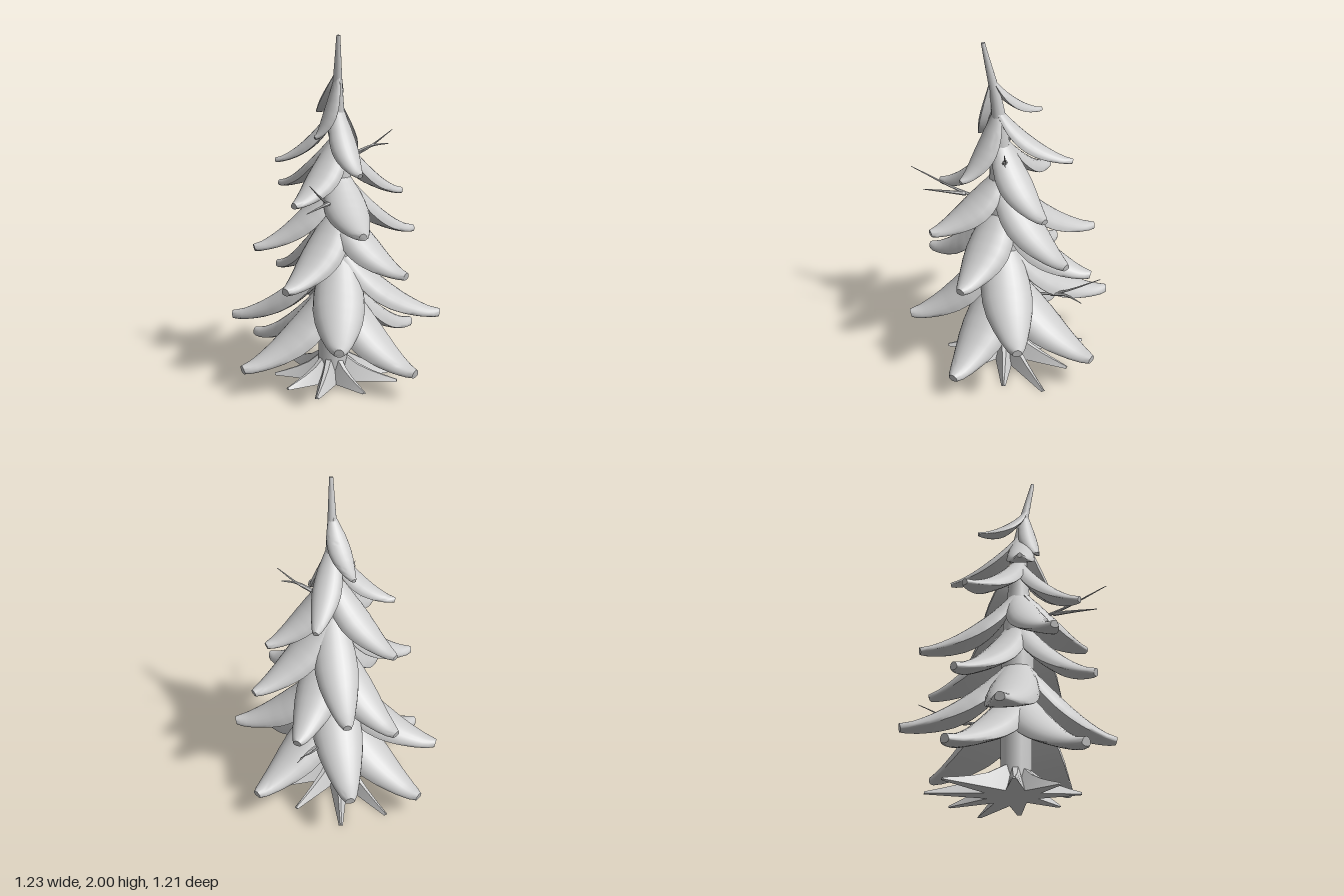
import * as THREE from 'three';
import { toCreasedNormals } from 'three/addons/utils/BufferGeometryUtils.js';

const V = (x, y, z) => new THREE.Vector3(x, y, z);

// Sweeps section(t) -> [[side, up], ...] along a curve and caps both ends.
function loft(curve, steps, section, up, crease) {
  const pos = [], idx = [];
  const n = section(0).length;
  for (let i = 0; i <= steps; i++) {
    const t = i / steps;
    const p = curve.getPoint(t), T = curve.getTangent(t);
    const S = up.clone().cross(T).normalize();
    const N = T.clone().cross(S);
    for (const [s, h] of section(t)) {
      const q = p.clone().addScaledVector(S, s).addScaledVector(N, h);
      pos.push(q.x, q.y, q.z);
    }
  }
  for (let i = 0; i < steps; i++) {
    for (let j = 0; j < n; j++) {
      const a = i * n + j, b = i * n + (j + 1) % n;
      idx.push(a, b, a + n, b, b + n, a + n);
    }
  }
  const last = steps * n;
  for (let j = 1; j < n - 1; j++) {
    idx.push(0, j + 1, j);
    idx.push(last, last + j, last + j + 1);
  }
  const g = new THREE.BufferGeometry();
  g.setAttribute('position', new THREE.Float32BufferAttribute(pos, 3));
  g.setIndex(idx);
  return toCreasedNormals(g, crease);
}

// Linear lookup in a list of [t, value].
function ramp(table, t) {
  for (let i = 1; i < table.length; i++) {
    const [a, va] = table[i - 1], [b, vb] = table[i];
    if (t <= b) return THREE.MathUtils.lerp(va, vb, (t - a) / (b - a));
  }
  return table[table.length - 1][1];
}

const ring = (r, n) => Array.from({ length: n }, (_, j) => {
  const a = j / n * Math.PI * 2;
  return [r * Math.cos(a), r * Math.sin(a)];
});

// Trunk centre line, leaning at the top
const AXIS_X = [[0, -0.04], [0.5, -0.03], [1, -0.02], [1.5, -0.03], [1.75, -0.055], [2, -0.09]];
const AXIS_Z = [[0, 0.02], [0.5, 0.04], [1, 0.07], [1.5, 0.06], [1.75, 0.08], [2, 0.13]];
const axis = (y) => V(ramp(AXIS_X, y), y, ramp(AXIS_Z, y));

const WIDTH = [[0, 0.32], [0.12, 0.6], [0.25, 0.85], [0.38, 0.98], [0.5, 1], [0.62, 0.91],
  [0.75, 0.72], [0.88, 0.49], [0.96, 0.32], [1, 0.18]];

// Arched, drooping bough with hanging edges, a flat underside and a blunt tip
function boughGeometry(rootY, tip, width) {
  const start = axis(rootY);
  const h = rootY - tip.y;
  const mid = start.clone().lerp(tip, 0.32);
  mid.y = tip.y + 0.18 * h;
  const curve = new THREE.QuadraticBezierCurve3(start, mid, tip);
  const section = (t) => {
    const w = width * ramp(WIDTH, t);
    const edge = -0.32 * w;
    const top = Math.max(0.4 * w, 0.17 * width) - edge;
    const under = Math.max(0.08 * w, 0.1 * width * t);
    const pts = [];
    for (let j = 0; j < 24; j++) {
      const a = j / 24 * Math.PI * 2, s = Math.sin(a);
      pts.push([w * Math.cos(a), edge + (s >= 0 ? top : under) * s]);
    }
    return pts;
  };
  return loft(curve, 24, section, V(0, 1, 0), 1.0);
}

// Tiers from bottom to top: attachment height, half width, tips
const TIERS = [
  { y: 0.66, w: 0.152, tips: [[-0.61, 0.16, -0.09], [0.61, 0.22, 0.02], [-0.12, 0.16, -0.6], [0.06, 0.16, 0.6]] },
  { y: 0.84, w: 0.147, tips: [[-0.38, 0.35, -0.48], [0.34, 0.35, -0.49], [0.41, 0.41, 0.45], [-0.39, 0.35, 0.47]] },
  { y: 1.08, w: 0.135, tips: [[-0.5, 0.64, 0.16], [0.45, 0.64, -0.17], [0.06, 0.7, 0.52], [-0.04, 0.61, -0.47]] },
  { y: 1.26, w: 0.125, tips: [[0.5, 0.85, 0.14], [-0.47, 0.83, -0.15], [-0.21, 0.95, 0.46], [0.29, 0.81, -0.41]] },
  { y: 1.46, w: 0.108, tips: [[-0.42, 1.1, 0.14], [0.37, 1.1, 0.17], [-0.06, 1.12, -0.42]] },
  { y: 1.63, w: 0.082, tips: [[-0.1, 1.25, 0.32], [-0.27, 1.3, -0.2], [0.3, 1.32, -0.17]] },
  { y: 1.79, w: 0.064, tips: [[0.05, 1.56, -0.2], [-0.19, 1.44, 0.05]] },
];

// Bare twigs: points from trunk to tip
const TWIGS = [
  [[-0.04, 1.04, 0.08], [-0.24, 1.11, 0.19], [-0.47, 1.24, 0.33]],
  [[-0.2, 1.09, 0.17], [-0.3, 1.1, 0.24], [-0.44, 1.08, 0.27]],
  [[-0.02, 1.3, 0.07], [0.09, 1.37, 0.17], [0.18, 1.48, 0.28]],
  [[0.06, 1.35, 0.13], [0.11, 1.39, 0.2], [0.17, 1.4, 0.26]],
  [[0, 0.42, 0.01], [0.25, 0.46, -0.12], [0.48, 0.59, -0.23]],
  [[0.22, 0.45, -0.1], [0.32, 0.47, -0.12], [0.42, 0.45, -0.13]],
];

// Root tips on the ground (x, z)
const ROOTS = [[0.02, -0.47], [0.28, -0.35], [0.38, -0.06], [0.41, 0.21], [0.2, 0.32],
  [-0.08, 0.34], [-0.33, 0.22], [-0.36, 0], [-0.26, -0.24]];

export function createModel() {
  const grey = new THREE.MeshStandardMaterial({ color: 0xcccccc });
  grey.name = 'grey';
  const tree = new THREE.Group();
  tree.name = 'pineTree';
  const add = (geometry, name, parent = tree) => {
    const mesh = new THREE.Mesh(geometry, grey);
    mesh.name = name;
    parent.add(mesh);
  };

  // Trunk with bare leaning top
  const trunkPath = new THREE.CatmullRomCurve3([0.01, 0.4, 0.8, 1.2, 1.6, 2].map(axis));
  const TRUNK_R = [[0, 0.085], [0.4, 0.095], [0.5, 0.09], [0.62, 0.065], [0.8, 0.038], [0.88, 0.026], [1, 0.011]];
  add(loft(trunkPath, 30, (t) => ring(ramp(TRUNK_R, t), 12), V(0, 0, 1), 1.0), 'trunk');

  // Boughs
  TIERS.forEach((tier, i) => {
    const group = new THREE.Group();
    group.name = `boughTier${i + 1}`;
    tier.tips.forEach((p) => add(boughGeometry(tier.y, V(...p), tier.w), 'bough', group));
    tree.add(group);
  });

  // Twigs
  TWIGS.forEach((pts) => {
    const path = new THREE.CatmullRomCurve3(pts.map((p) => V(...p)));
    add(loft(path, 8, (t) => ring(0.013 - 0.011 * t, 6), V(0, 1, 0), 1.0), 'twig');
  });

  // Flat-bottomed, ridged roots
  const HEIGHT = [[0, 0.2], [0.2, 0.15], [0.45, 0.08], [0.75, 0.04], [1, 0.012]];
  ROOTS.forEach(([x, z]) => {
    const path = new THREE.LineCurve3(V(-0.04, 0.006, 0.02), V(x, 0.006, z));
    const section = (t) => {
      const w = 0.06 * (1 - t) + 0.012, h = ramp(HEIGHT, t);
      return [[w, 0], [w * 0.25, h], [-w * 0.25, h], [-w, 0]];
    };
    add(loft(path, 5, section, V(0, 1, 0), 0.4), 'root');
  });

  return tree;
}
